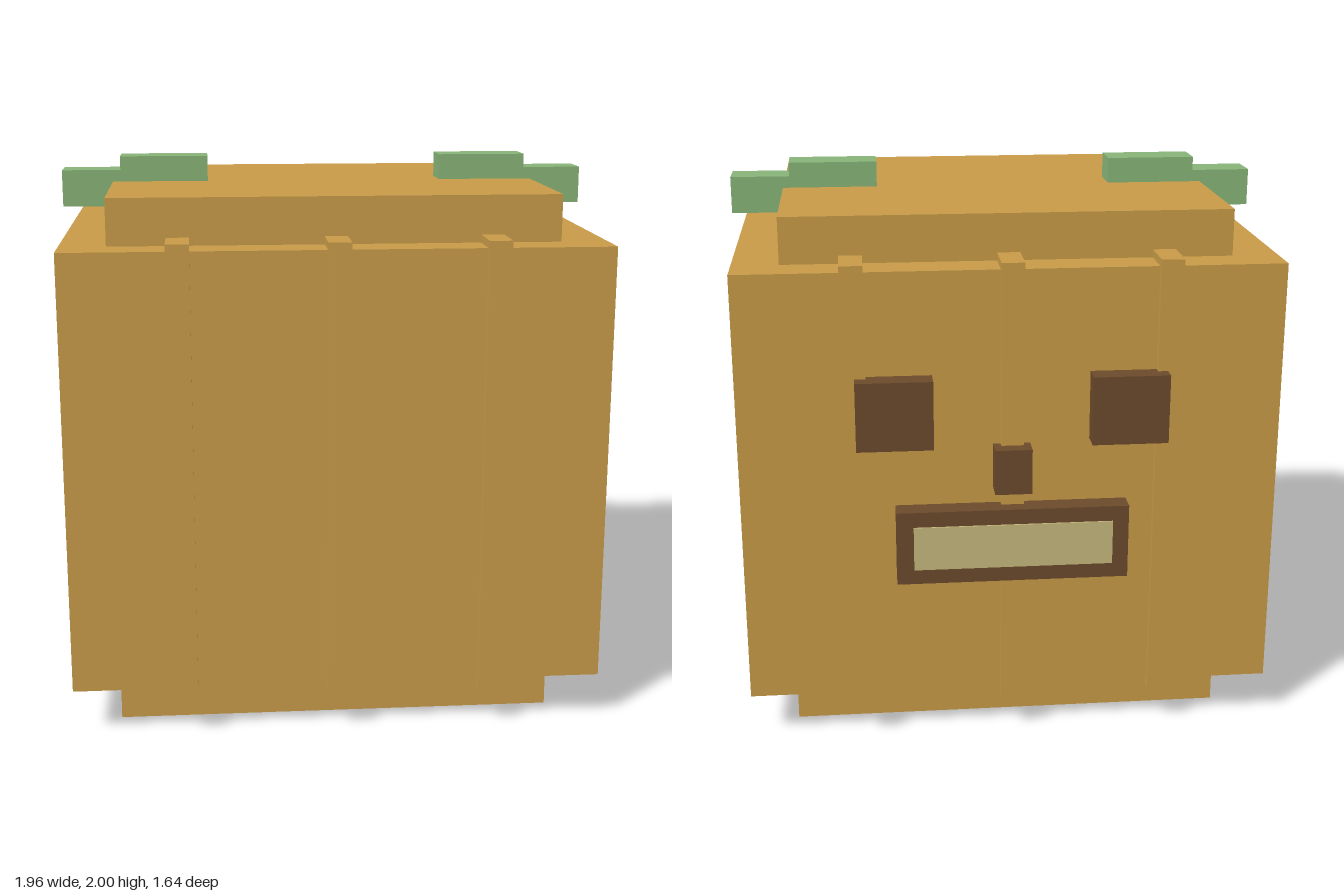
import * as THREE from 'three';

export function createModel() {
  const root = new THREE.Group();
  const flat = (name, color) => {
    const m = new THREE.MeshStandardMaterial({ color });
    m.name = name;
    return m;
  };
  const gourd = flat('gourdOrange', 0xc89b48);
  const leaf = flat('leafGreen', 0x88b478);
  const bark = flat('darkBrown', 0x6b4a2b);
  const cream = flat('paleCream', 0xc6b87c);

  // Box given by its extents on each axis
  function box(name, material, [x0, x1], [y0, y1], [z0, z1]) {
    const mesh = new THREE.Mesh(new THREE.BoxGeometry(x1 - x0, y1 - y0, z1 - z0), material);
    mesh.position.set((x0 + x1) / 2, (y0 + y1) / 2, (z0 + z1) / 2);
    mesh.name = name;
    root.add(mesh);
  }

  // Stepped body
  box('body', gourd, [-0.953, 0.95], [0.17, 1.742], [-0.733, 0.793]);
  box('core', gourd, [-0.79, 0.786], [0, 1.907], [-0.597, 0.657]);

  // Raised ribs, running through the body from front to back
  for (const x of [-0.547, -0.002, 0.543]) {
    box('rib', gourd, [x - 0.04, x + 0.04], [0.142, 1.77], [-0.76, 0.82]);
  }

  for (const s of [-1, 1]) {
    const span = (a, b) => (s > 0 ? [a, b] : [-b, -a]);
    // Leaves on the top edges
    box('innerLeaf', leaf, span(0.437, 0.762), [1.867, 2], [-0.038, 0.096]);
    box('outerLeaf', leaf, span(0.76, 0.978), [1.815, 1.95], [-0.038, 0.096]);
    // Eyes
    box('eye', bark, span(0.275, 0.542), [1.13, 1.376], [-0.812, -0.73]);
  }

  // Nose and mouth with a thin pale plate
  box('nose', bark, [-0.066, 0.064], [0.957, 1.12], [-0.812, -0.73]);
  box('mouth', bark, [-0.41, 0.41], [0.63, 0.9], [-0.812, -0.73]);
  box('teeth', cream, [-0.353, 0.35], [0.685, 0.845], [-0.818, -0.811]);

  return root;
}
